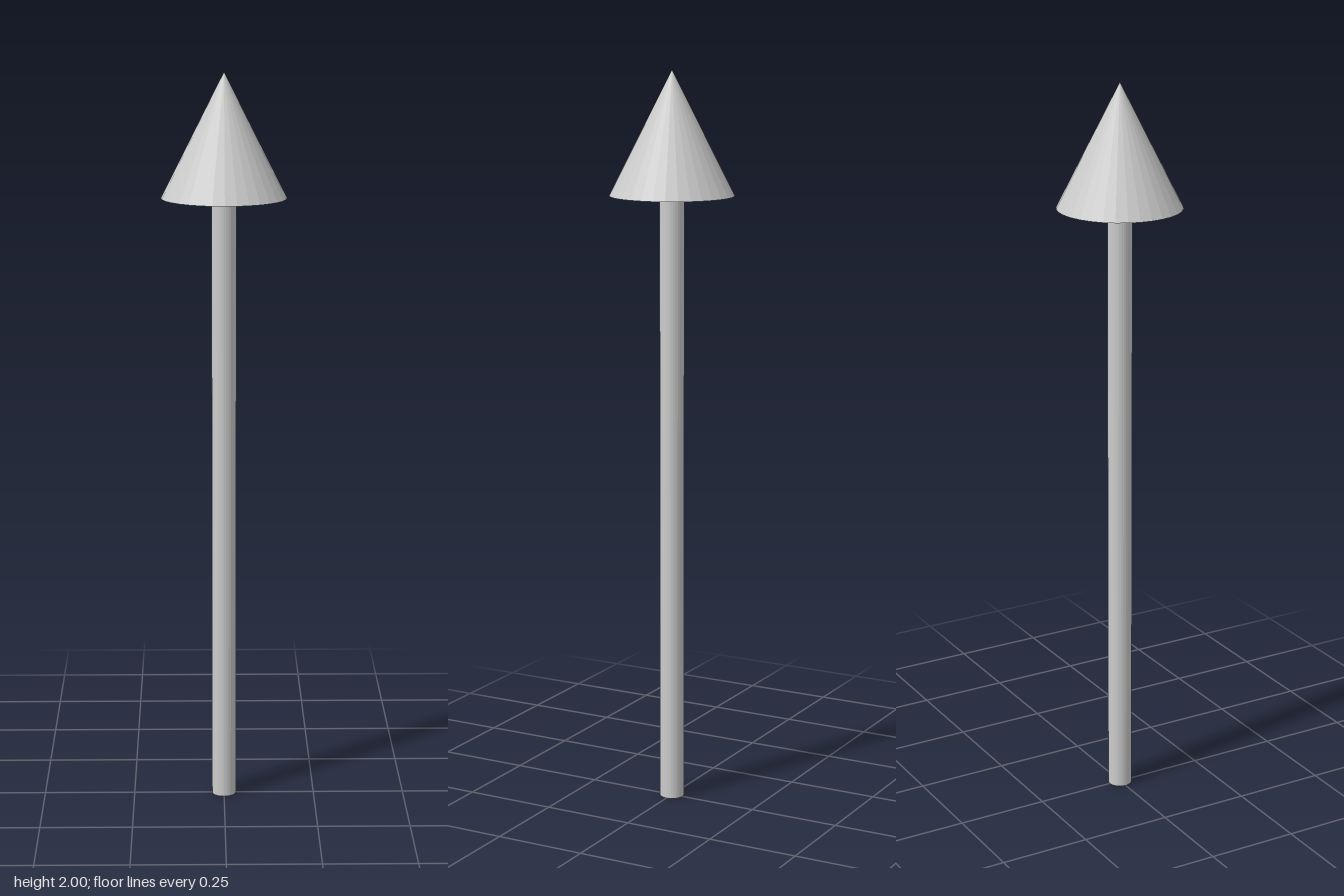
import * as THREE from 'three';

const SIDES = 32;
const SHAFT_RADIUS = 0.033;
const HEAD_RADIUS = 0.167;
const HEAD_BASE = 1.67;
const TIP = 2;

export function createModel() {
  const model = new THREE.Group();
  model.name = 'arrow';
  const material = new THREE.MeshStandardMaterial({ color: 0xcccccc, flatShading: true });

  // Adds a faceted round part spanning two heights
  const addPart = (name, topRadius, bottomRadius, bottom, top) => {
    const geometry = new THREE.CylinderGeometry(topRadius, bottomRadius, top - bottom, SIDES);
    const mesh = new THREE.Mesh(geometry, material);
    mesh.name = name;
    mesh.position.y = (bottom + top) / 2;
    model.add(mesh);
  };

  // Straight rod, closed at the foot
  addPart('shaft', SHAFT_RADIUS, SHAFT_RADIUS, 0, HEAD_BASE);

  // Pointed cone with a flat underside
  addPart('arrowhead', 0, HEAD_RADIUS, HEAD_BASE, TIP);

  return model;
}
